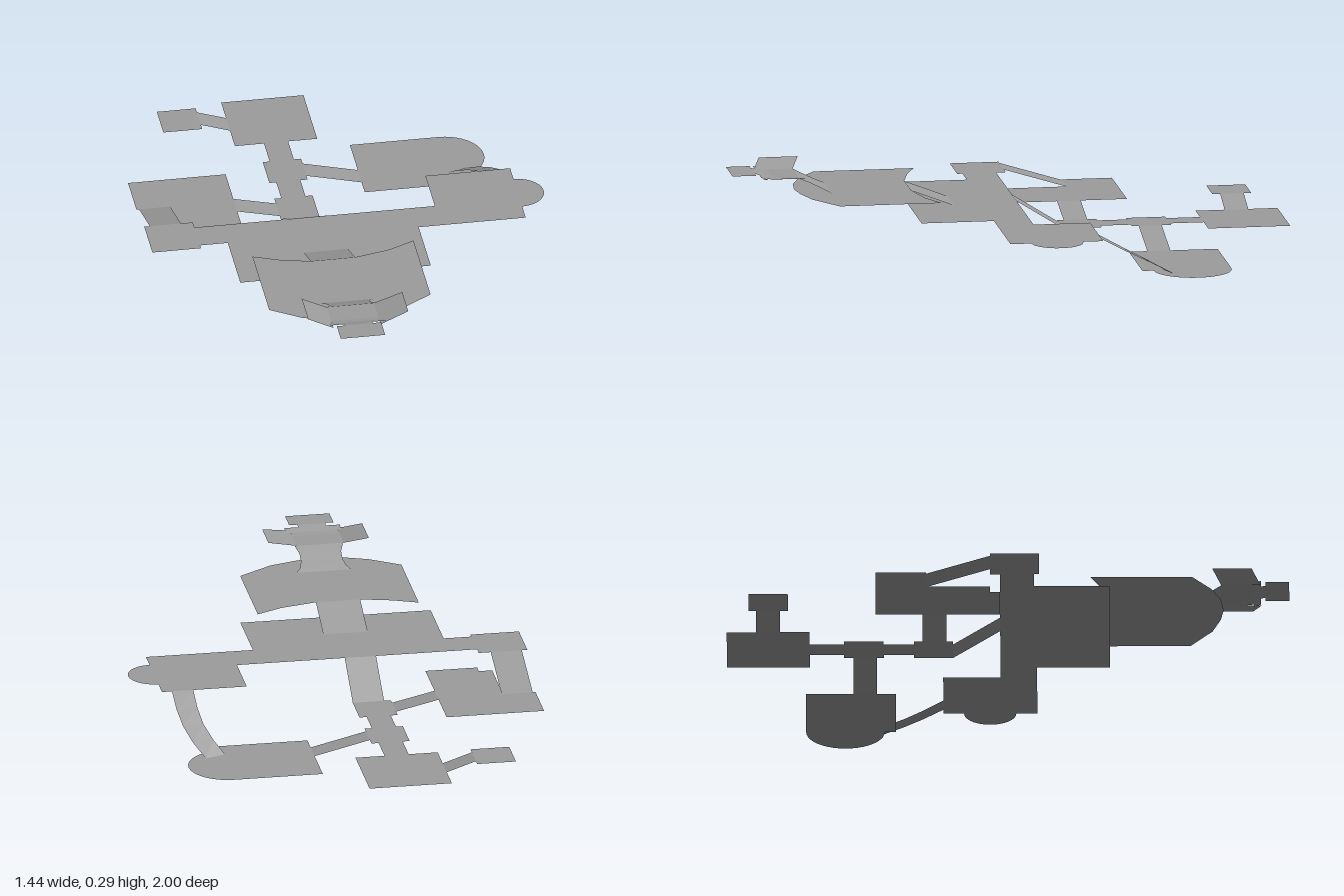
import * as THREE from 'three';

export function createModel() {
  const model = new THREE.Group();
  const mat = new THREE.MeshStandardMaterial({
    color: 0x9c9c9c, side: THREE.DoubleSide, flatShading: true,
  });
  const add = (name, geo) => {
    const mesh = new THREE.Mesh(geo, mat);
    mesh.name = name;
    model.add(mesh);
  };

  // Level floor at height y from an outline of [x, z] points
  const floor = (name, y, pts) => {
    const shape = new THREE.Shape(pts.map(([x, z]) => new THREE.Vector2(x, -z)));
    add(name, new THREE.ShapeGeometry(shape).rotateX(-Math.PI / 2).translate(0, y, 0));
  };
  const rect = (name, y, x0, x1, z0, z1) =>
    floor(name, y, [[x0, z0], [x0, z1], [x1, z1], [x1, z0]]);

  // Sloping strip from rows of two [x, y, z] points
  const strip = (name, rows) => {
    const pos = rows.flat(2), idx = [];
    for (let i = 0; i < rows.length - 1; i++) {
      const a = 2 * i;
      idx.push(a, a + 2, a + 1, a + 1, a + 2, a + 3);
    }
    const geo = new THREE.BufferGeometry();
    geo.setAttribute('position', new THREE.Float32BufferAttribute(pos, 3));
    geo.setIndex(idx);
    geo.computeVertexNormals();
    add(name, geo);
  };
  // Ramp along z: rows of [z, y, x0, x1]
  const rampZ = (name, rows) =>
    strip(name, rows.map(([z, y, x0, x1]) => [[x0, y, z], [x1, y, z]]));
  // Ramp along x: rows of [x, y, zBack, zFront]
  const rampX = (name, rows) =>
    strip(name, rows.map(([x, y, z0, z1]) => [[x, y, z1], [x, y, z0]]));

  // Points on an arc, angle measured from +x towards +z
  const arc = (cx, cz, r, a0, a1, n = 14) =>
    Array.from({ length: n + 1 }, (_, i) => {
      const a = a0 + (a1 - a0) * i / n;
      return [cx + r * Math.cos(a), cz + r * Math.sin(a)];
    });
  const H = Math.PI / 2;

  // Floor levels
  const CORRIDOR = 0.048, SIDE = 0.083, MAIN = 0.153, HALL = 0.214, TOP = 0.27;

  // Back rooms and the corridor between them
  rect('backRoom', CORRIDOR, -0.285, 0.012, -1, -0.705);
  rect('backSideRoom', SIDE, -0.53, -0.39, -0.922, -0.782);
  rampX('backSideRamp', [[-0.39, SIDE, -0.895, -0.81], [-0.285, CORRIDOR, -0.895, -0.81]]);
  floor('corridor', CORRIDOR, [
    [-0.18, -0.705], [-0.18, -0.583], [-0.205, -0.583], [-0.205, -0.442],
    [-0.18, -0.442], [-0.18, -0.335], [-0.205, -0.335], [-0.205, -0.195],
    [-0.067, -0.195], [-0.067, -0.335], [-0.093, -0.335], [-0.093, -0.442],
    [-0.067, -0.442], [-0.067, -0.583], [-0.093, -0.583], [-0.093, -0.705],
  ]);

  // Low round-ended room with its ramps
  floor('roundEndedRoom', 0, [
    [0.132, -0.72], [0.132, -0.4], [0.452, -0.4],
    ...arc(0.452, -0.58, 0.14, H, -H, 20),
  ]);
  rampX('roundRoomRamp', [[-0.067, CORRIDOR, -0.55, -0.467], [0.132, 0, -0.55, -0.467]]);
  strip('curvedRamp', [
    [[0.443, 0, -0.48], [0.517, 0, -0.505]],
    [[0.476, 0.037, -0.43], [0.552, 0.037, -0.443]],
    [[0.502, 0.076, -0.365], [0.577, 0.076, -0.373]],
    [[0.512, 0.113, -0.3], [0.588, 0.113, -0.303]],
    [[0.515, MAIN, -0.23], [0.592, MAIN, -0.23]],
  ]);

  // Room beside the corridor with its ramps
  floor('sideRoom', SIDE, [
    [-0.71, -0.47], [-0.71, -0.29], [-0.593, -0.29], [-0.593, -0.063],
    [-0.545, -0.063], [-0.545, -0.028], [-0.358, -0.028], [-0.358, -0.47],
  ]);
  rampX('sideRoomRamp', [[-0.358, SIDE, -0.303, -0.218], [-0.205, CORRIDOR, -0.303, -0.218]]);
  rampZ('sideLandingRamp', [[-0.29, SIDE, -0.7, -0.588], [-0.063, MAIN, -0.7, -0.588]]);

  // Main floor with side landing and rounded bay
  floor('mainFloor', MAIN, [
    [-0.72, -0.063], [-0.72, 0.112], [-0.545, 0.112], [-0.545, 0.093], [-0.445, 0.093],
    [-0.445, 0.362], [0.242, 0.362], [0.242, 0.102], [0.628, 0.102], [0.628, 0.027],
    ...arc(0.628, -0.066, 0.093, H, -H),
    [0.628, -0.232], [0.322, -0.232], [0.322, -0.028], [-0.545, -0.028], [-0.545, -0.063],
  ]);
  rampZ('mainStair', [[-0.195, CORRIDOR, -0.18, -0.067], [-0.028, MAIN, -0.18, -0.067]]);

  // Raised hall with curved back and front edges
  rampZ('hallRamp', [[0.203, MAIN, -0.19, -0.03], [0.36, HALL, -0.19, -0.03]]);
  floor('raisedHall', HALL, [
    [-0.39, 0.293], [-0.39, 0.655], [-0.285, 0.725], [-0.2, 0.757], [-0.11, 0.767],
    [-0.03, 0.757], [0.07, 0.727], [0.193, 0.648], [0.193, 0.282], [0.1, 0.327],
    [-0.03, 0.358], [-0.19, 0.358], [-0.3, 0.33],
  ]);
  rampZ('flaredRamp', [
    [0.643, HALL, -0.208, -0.01], [0.663, 0.224, -0.192, -0.026],
    [0.69, 0.237, -0.184, -0.034], [0.722, 0.253, -0.184, -0.034],
    [0.758, TOP, -0.197, -0.023],
  ]);

  // Upper platform whose sides tilt upward
  rampX('upperPlatform', [
    [-0.285, 0.295, 0.727, 0.867], [-0.2, TOP, 0.758, 0.898],
    [-0.2, TOP, 0.758, 0.852], [-0.03, TOP, 0.758, 0.852],
    [-0.03, TOP, 0.758, 0.903], [0.075, 0.295, 0.742, 0.872],
  ]);

  // Front ramp and end landing
  rampZ('frontRamp', [
    [0.852, TOP, -0.2, -0.03], [0.875, 0.273, -0.2, -0.03],
    [0.875, 0.273, -0.21, -0.01], [0.9, 0.282, -0.21, -0.01],
    [0.9, 0.282, -0.16, -0.06], [0.915, 0.286, -0.16, -0.06],
  ]);
  rect('endLanding', 0.286, -0.19, -0.03, 0.915, 1);

  return model;
}
